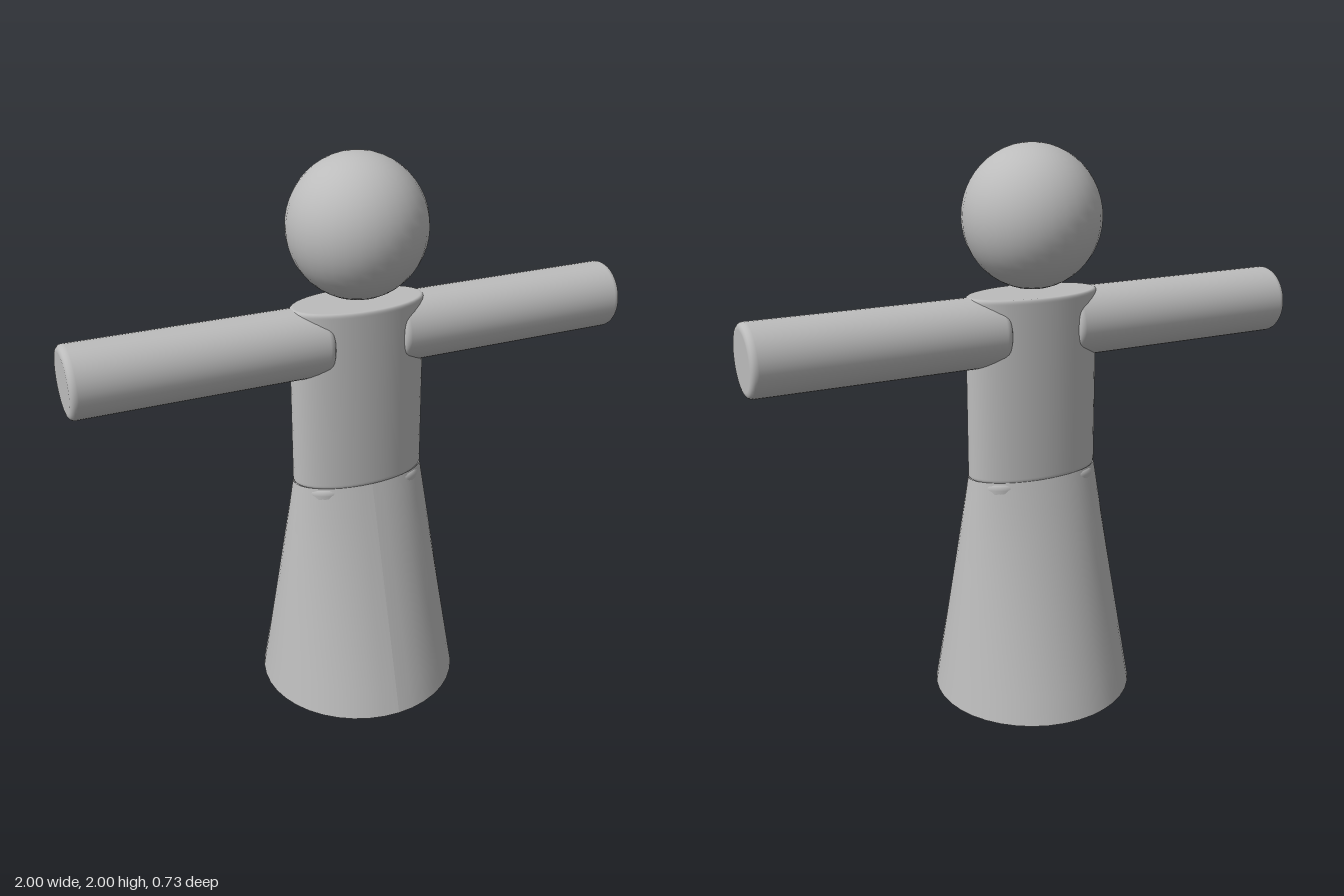
import * as THREE from 'three';

const grey = new THREE.MeshStandardMaterial({ color: 0xbcbcbc });
grey.name = 'plain grey';
const greyCloth = new THREE.MeshStandardMaterial({ color: 0xbcbcbc, side: THREE.DoubleSide });
greyCloth.name = 'plain grey cloth';

// Cylinder standing on y = 0 with softly rounded rims
function rod(radius, length, bevel) {
  const pts = [[0, 0], [radius - bevel - 0.004, 0]];
  for (let i = 0; i <= 4; i++) {
    const a = (i / 4) * Math.PI / 2;
    pts.push([radius - bevel + bevel * Math.sin(a), bevel - bevel * Math.cos(a)]);
  }
  pts.push([radius, bevel + 0.004]);
  const upper = pts.map(([r, y]) => [r, length - y]).reverse();
  return new THREE.LatheGeometry([...pts, ...upper].map(([r, y]) => new THREE.Vector2(r, y)), 40);
}

// Skirt wall blending from the oval waist to a round hem
function skirtGeometry(waistX, waistZ, hem, height) {
  const geo = new THREE.CylinderGeometry(waistX, hem, height, 40, 8, true);
  const p = geo.attributes.position;
  for (let i = 0; i < p.count; i++) {
    const t = p.getY(i) / height + 0.5;
    const rx = hem + (waistX - hem) * t;
    const rz = hem + (waistZ - hem) * t;
    p.setZ(i, p.getZ(i) * rz / rx);
  }
  geo.computeVertexNormals();
  return geo;
}

export function createModel() {
  const model = new THREE.Group();
  model.name = 'figure';
  const add = (name, geometry, material, x, y) => {
    const mesh = new THREE.Mesh(geometry, material);
    mesh.name = name;
    mesh.position.set(x, y, 0);
    model.add(mesh);
    return mesh;
  };

  // Head floats just above the torso
  add('head', new THREE.SphereGeometry(0.237, 32, 24), grey, 0, 1.755).scale.y = 1.02;

  // Oval torso
  add('torso', rod(0.243, 0.645, 0.012), grey, 0, 0.857).scale.z = 0.125 / 0.243;

  // Open skirt
  add('skirt', skirtGeometry(0.244, 0.126, 0.363, 0.838), greyCloth, 0, 0.443);

  // Arms and legs, mirrored
  for (const [side, s] of [['left', 1], ['right', -1]]) {
    add(side + 'Arm', rod(0.121, 0.875, 0.02), grey, s * 0.125, 1.38).rotation.z = -s * Math.PI / 2;
    add(side + 'Leg', rod(0.11, 0.86, 0.02), grey, s * 0.124, 0);
  }
  return model;
}
